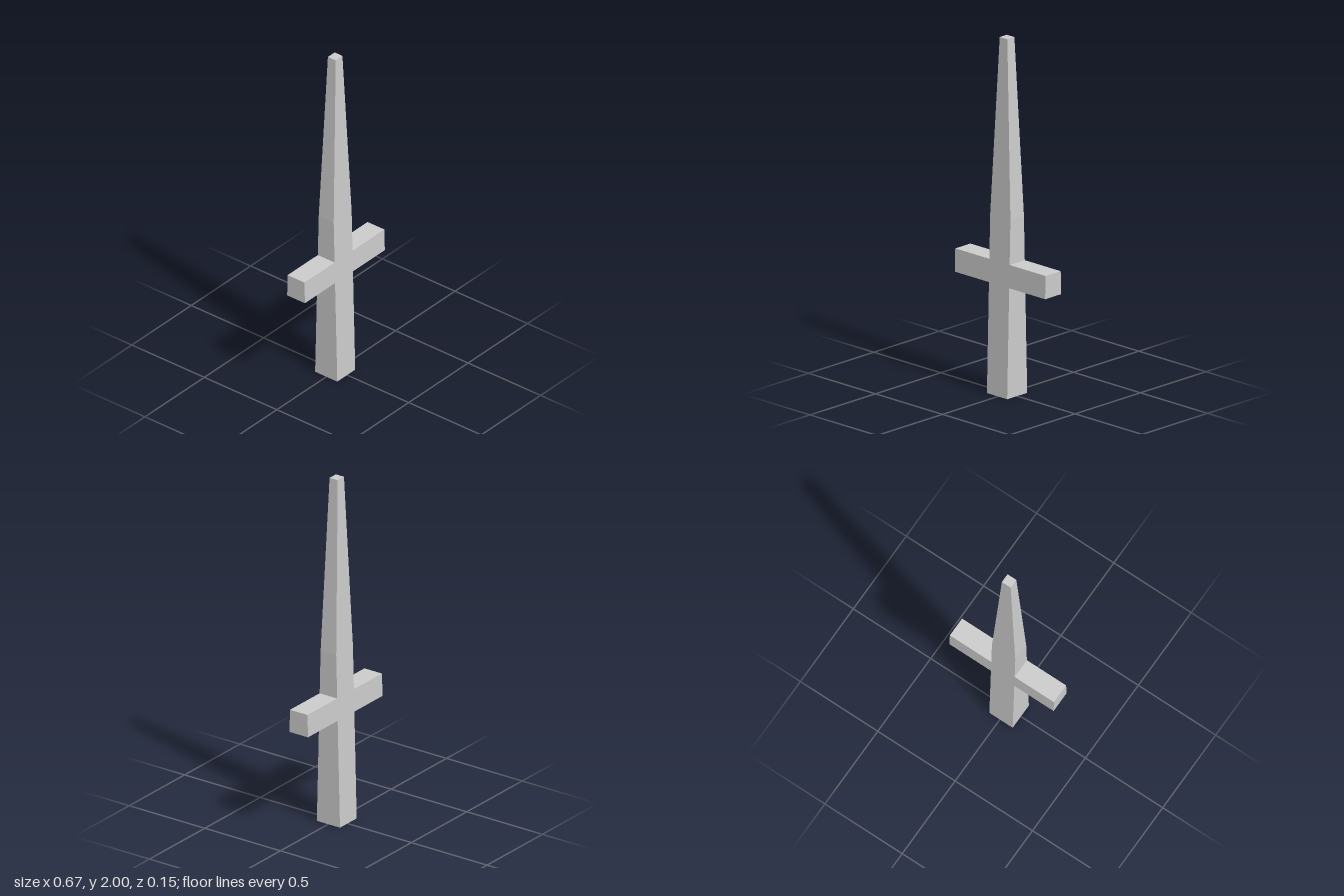
import * as THREE from 'three';

// Half thickness shrinks evenly from the pommel end to the tip
const halfDepth = (y) => 0.0765 - 0.0248 * y;

export function createModel() {
  const group = new THREE.Group();
  group.name = 'sword';

  // Outline of grip, crossguard and blade in one piece
  const outline = [
    [-0.083, 0], [0.068, 0], [0.068, 0.62], [0.336, 0.62], [0.336, 0.75],
    [0.068, 0.75], [0.068, 1.0], [0.021, 2], [-0.036, 2], [-0.083, 1.0],
    [-0.083, 0.75], [-0.337, 0.75], [-0.337, 0.62], [-0.083, 0.62],
  ];
  const shape = new THREE.Shape(outline.map(([x, y]) => new THREE.Vector2(x, y)));
  const geometry = new THREE.ExtrudeGeometry(shape, { depth: 1, bevelEnabled: false });

  // Taper the thickness along the height
  const p = geometry.attributes.position;
  for (let i = 0; i < p.count; i++) {
    const side = p.getZ(i) > 0.5 ? 1 : -1;
    p.setZ(i, side * halfDepth(p.getY(i)) - 0.001);
  }
  geometry.computeVertexNormals();

  const sword = new THREE.Mesh(
    geometry,
    new THREE.MeshStandardMaterial({ color: 0xcccccc, flatShading: true }),
  );
  sword.name = 'bladeGripAndCrossguard';
  group.add(sword);
  return group;
}
